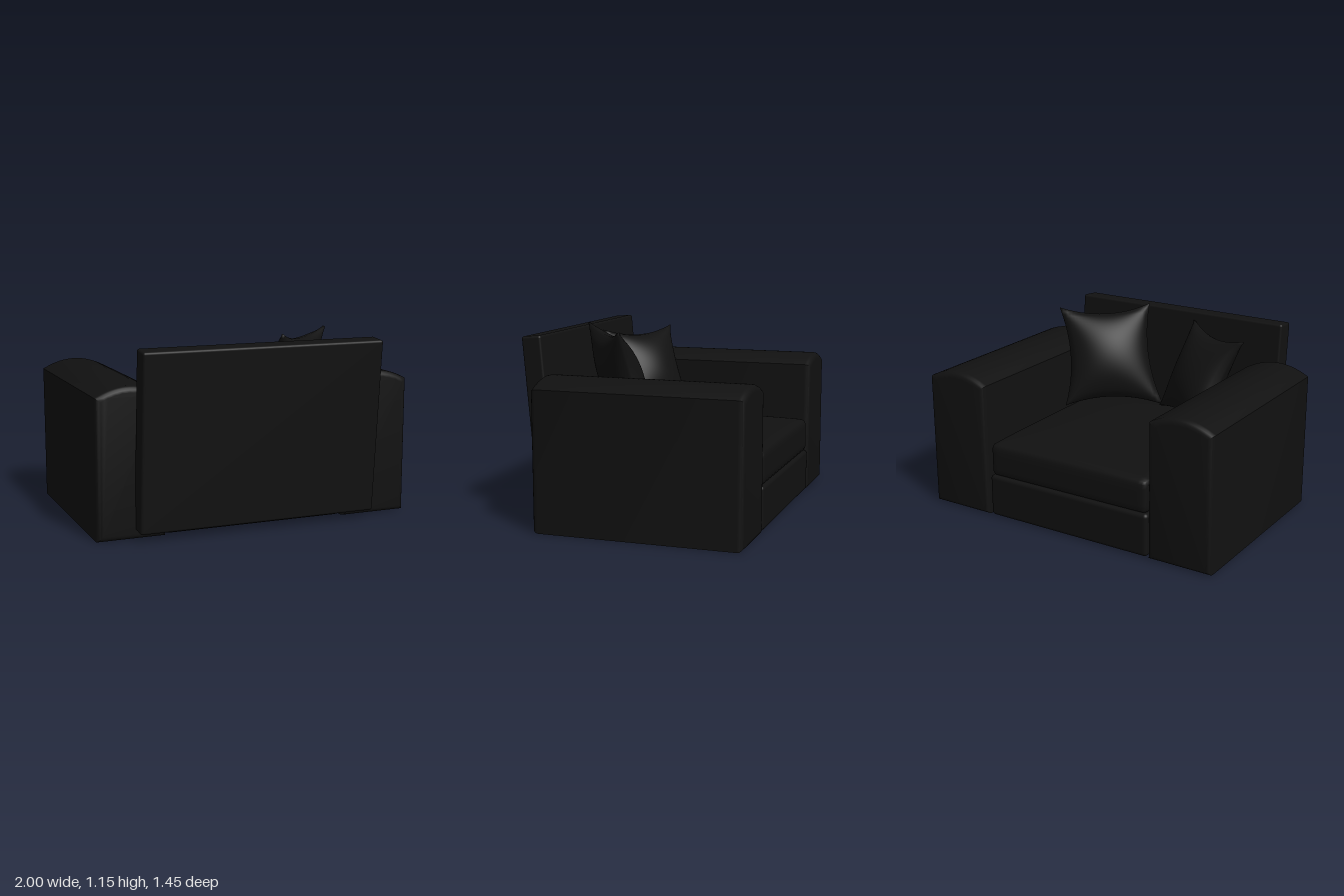
import * as THREE from 'three';
import { mergeVertices, toCreasedNormals } from 'three/addons/utils/BufferGeometryUtils.js';
import { RoundedBoxGeometry } from 'three/addons/geometries/RoundedBoxGeometry.js';

const fabric = new THREE.MeshStandardMaterial({ color: 0x111111 });

function part(name, geometry, x = 0, y = 0, z = 0) {
  const mesh = new THREE.Mesh(geometry, fabric);
  mesh.name = name;
  mesh.position.set(x, y, z);
  return mesh;
}

// Move every vertex by a rule, then weld and smooth.
function reshape(box, rule) {
  const pos = box.attributes.position;
  const p = new THREE.Vector3();
  for (let i = 0; i < pos.count; i++) {
    rule(p.fromBufferAttribute(pos, i));
    pos.setXYZ(i, p.x, p.y, p.z);
  }
  box.deleteAttribute('normal');
  box.deleteAttribute('uv');
  const welded = mergeVertices(box, 1e-5);
  welded.computeVertexNormals();
  return welded;
}

// Arm block: arched profile, softly bevelled all round.
function armGeometry(width, depth) {
  const b = 0.035, w = width / 2 - b;
  const s = new THREE.Shape();
  s.moveTo(-w, b);
  s.lineTo(w, b);
  s.lineTo(w, 0.82);
  s.quadraticCurveTo(0, 0.91, -w, 0.82);
  s.closePath();
  const g = new THREE.ExtrudeGeometry(s, {
    depth: depth - 2 * b, bevelSize: b, bevelThickness: b, bevelSegments: 4, curveSegments: 16,
  });
  g.translate(0, 0, b - depth / 2);
  return toCreasedNormals(g, 0.7);
}

// Seat cushion: rounded slab with a crowned top.
function cushionGeometry(w, h, d, r, crown) {
  const inner = new THREE.Vector3(w / 2 - r, h / 2 - r, d / 2 - r);
  const low = inner.clone().negate();
  const c = new THREE.Vector3();
  return reshape(new THREE.BoxGeometry(w, h, d, 40, 8, 40), (p) => {
    c.copy(p).clamp(low, inner);
    p.sub(c).setLength(r).add(c);
    const dome = (1 - (2 * p.x / w) ** 2) * (1 - (2 * p.z / d) ** 2);
    if (p.y > 0) p.y += crown * Math.sqrt(Math.max(0, dome)) * (2 * p.y / h);
  });
}

// Throw pillow stretched between four corners, with pinched edges and a full middle.
function pillowGeometry(bl, br, tl, tr, thickness) {
  const [a, b, c, d] = [bl, br, tl, tr].map((v) => new THREE.Vector3(...v));
  const normal = b.clone().sub(a).cross(c.clone().sub(a)).normalize();
  const low = new THREE.Vector3(), high = new THREE.Vector3();
  return reshape(new THREE.BoxGeometry(2, 2, 2, 28, 28, 1), (p) => {
    const { x, y, z } = p;
    const u = (1 + x * (1 - 0.17 * (1 - y * y))) / 2;
    const v = (1 + y * (1 - 0.17 * (1 - x * x))) / 2;
    const puff = 0.008 + thickness * Math.pow((1 - x * x) * (1 - y * y), 0.6);
    low.lerpVectors(a, b, u);
    high.lerpVectors(c, d, u);
    p.lerpVectors(low, high, v).addScaledVector(normal, z * puff);
  });
}

export function createModel() {
  const model = new THREE.Group();
  model.name = 'armchair';

  // Arms
  model.add(part('rightArm', armGeometry(0.415, 1.27), -0.7925, 0, -0.09));
  model.add(part('leftArm', armGeometry(0.425, 1.27), 0.7875, 0, -0.09));

  // Base and seat
  model.add(part('base', new RoundedBoxGeometry(1.135, 0.27, 1.24, 4, 0.025), -0.0125, 0.14, -0.1));
  model.add(part('seatCushion', cushionGeometry(1.12, 0.21, 1.23, 0.035, 0.04), -0.0125, 0.375, -0.1));

  // Leaning back panel
  const back = part('backrest', new RoundedBoxGeometry(1.5, 1.07, 0.125, 4, 0.015), -0.02, 0.583, 0.615);
  back.rotation.x = 0.085;
  model.add(back);

  // Throw pillows
  model.add(part('rightPillow', pillowGeometry(
    [-0.5, 0.5, 0.06], [-0.03, 0.52, 0.36], [-0.66, 1.07, 0.28], [-0.16, 1.07, 0.57], 0.12)));
  model.add(part('leftPillow', pillowGeometry(
    [-0.05, 0.53, 0.36], [0.48, 0.53, 0.0], [0.16, 1.15, 0.53], [0.62, 1.14, 0.15], 0.12)));

  return model;
}
